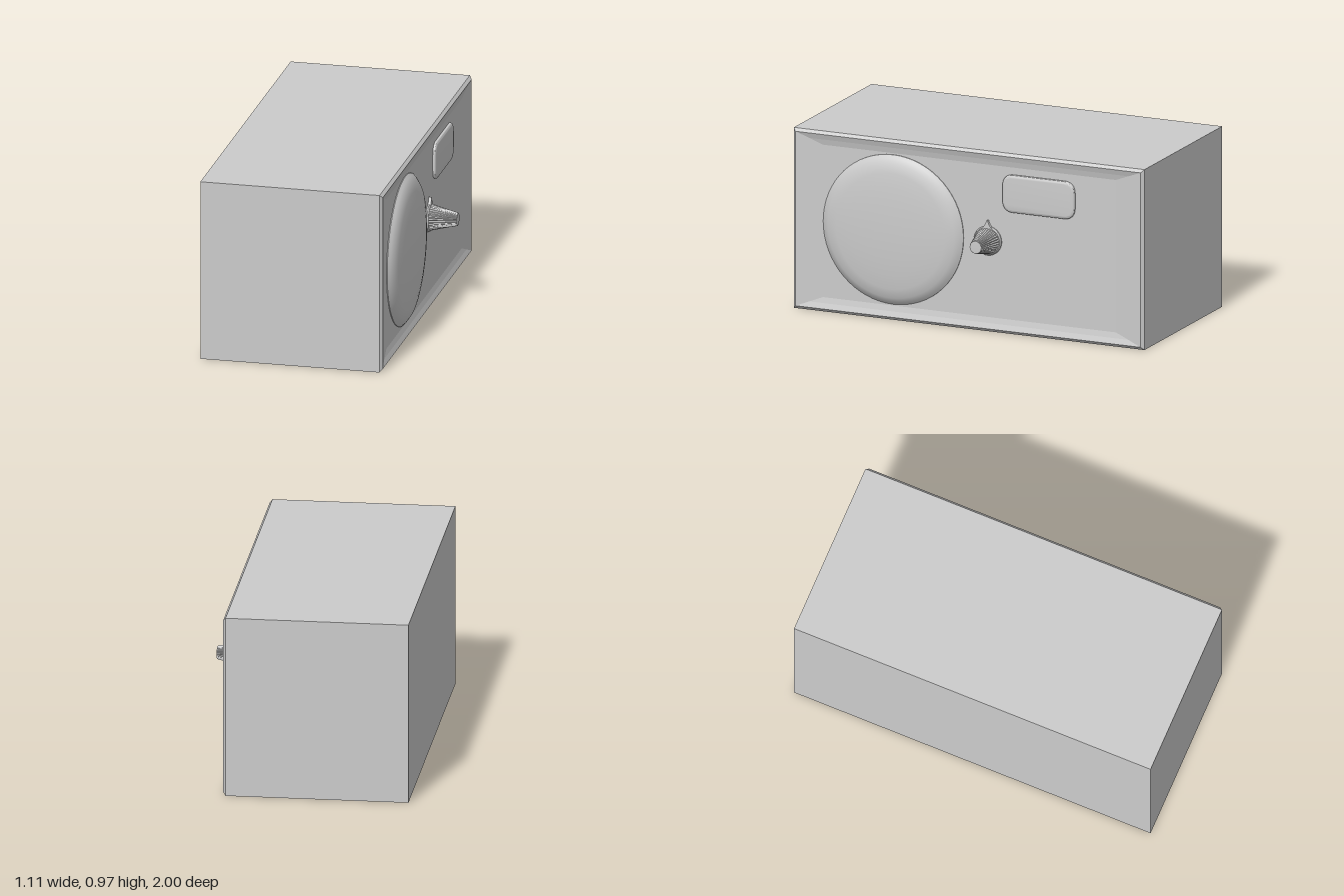
import * as THREE from 'three';
import { toCreasedNormals } from 'three/addons/utils/BufferGeometryUtils.js';

const H = 0.966, MID = H / 2, PANEL_X = 0.395;
const grey = new THREE.MeshStandardMaterial({ color: 0xcccccc });

function part(name, geometry) {
  const mesh = new THREE.Mesh(geometry, grey);
  mesh.name = name;
  return mesh;
}

// Skin through rectangles facing +x, each given as [x, inset in y, inset in z]
function rectLoft(sections) {
  const rings = sections.map(([x, iy, iz]) => [
    [x, iy, 1 - iz], [x, iy, iz - 1], [x, H - iy, iz - 1], [x, H - iy, 1 - iz],
  ]);
  const pos = [];
  for (let i = 0; i + 1 < rings.length; i++) {
    for (let k = 0; k < 4; k++) {
      const n = (k + 1) % 4;
      const a = rings[i][k], b = rings[i][n], c = rings[i + 1][n], d = rings[i + 1][k];
      pos.push(...a, ...b, ...c, ...a, ...c, ...d);
    }
  }
  const g = new THREE.BufferGeometry();
  g.setAttribute('position', new THREE.Float32BufferAttribute(pos, 3));
  g.computeVertexNormals();
  return g;
}

// Lathe profile of [radius, x], turned about the x axis
function turned(profile, segments) {
  const pts = profile.map(([r, x]) => new THREE.Vector2(r, x));
  return new THREE.LatheGeometry(pts, segments).rotateZ(-Math.PI / 2);
}

export function createModel() {
  const model = new THREE.Group();

  // Cabinet, open where the front panel closes it
  model.add(part('cabinet', rectLoft([[-0.555, MID, 1], [-0.555, 0, 0], [0.398, 0, 0]])));

  // Raised rim sloping down into a shallow recessed panel
  model.add(part('recessedPanel', rectLoft([
    [0.398, 0, 0], [0.412, 0.016, 0.016], [0.402, 0.045, 0.09],
    [PANEL_X, 0.075, 0.165], [PANEL_X, MID, 1],
  ])));

  // Large domed disc
  const dome = part('domedDisc', toCreasedNormals(turned([
    [0.4, 0.385], [0.4, 0.399], [0.385, 0.412], [0.36, 0.428], [0.31, 0.437],
    [0.24, 0.445], [0.16, 0.45], [0.08, 0.453], [0, 0.4535],
  ], 64), 0.7));
  dome.position.set(0, MID, 0.432);
  model.add(dome);

  // Small rounded window with softened edges
  const w = 0.19, h = 0.085, r = 0.045;
  const outline = new THREE.Shape();
  outline.moveTo(-w + r, -h);
  outline.lineTo(w - r, -h).quadraticCurveTo(w, -h, w, -h + r);
  outline.lineTo(w, h - r).quadraticCurveTo(w, h, w - r, h);
  outline.lineTo(-w + r, h).quadraticCurveTo(-w, h, -w, h - r);
  outline.lineTo(-w, -h + r).quadraticCurveTo(-w, -h, -w + r, -h);
  const windowGeo = new THREE.ExtrudeGeometry(outline, {
    depth: 0.006, bevelThickness: 0.01, bevelSize: 0.016, bevelSegments: 4, curveSegments: 8,
  }).rotateY(Math.PI / 2);
  const pane = part('roundedWindow', toCreasedNormals(windowGeo, 0.7));
  pane.position.set(PANEL_X, 0.752, -0.398);
  model.add(pane);

  // Control knob: flange, fluted grip and pointer
  const knob = new THREE.Group();
  knob.name = 'controlKnob';
  knob.position.set(0, MID + 0.002, -0.107);
  knob.add(part('knobFlange', toCreasedNormals(turned([
    [0.078, 0.385], [0.078, 0.402], [0.072, 0.409], [0, 0.411],
  ], 48), 0.6)));

  const teeth = 30;
  const grip = turned([[0.068, 0.405], [0.056, 0.453], [0.044, 0.502], [0.033, 0.55], [0, 0.551]], teeth * 4);
  const p = grip.attributes.position;
  for (let i = 0; i < p.count; i++) {
    const flute = 1 + 0.04 * Math.cos(teeth * Math.atan2(p.getZ(i), p.getY(i)));
    p.setY(i, p.getY(i) * flute);
    p.setZ(i, p.getZ(i) * flute);
  }
  grip.computeVertexNormals();
  knob.add(part('flutedGrip', toCreasedNormals(grip, 0.7)));

  const tip = new THREE.Shape();
  tip.moveTo(-0.036, 0.06);
  tip.lineTo(0.036, 0.06);
  tip.quadraticCurveTo(0.012, 0.078, 0.003, 0.11);
  tip.lineTo(-0.003, 0.11);
  tip.quadraticCurveTo(-0.012, 0.078, -0.036, 0.06);
  const pointer = part('pointer', new THREE.ExtrudeGeometry(tip, { depth: 0.02, bevelEnabled: false })
    .rotateY(Math.PI / 2));
  pointer.position.x = 0.39;
  knob.add(pointer);
  model.add(knob);

  return model;
}
